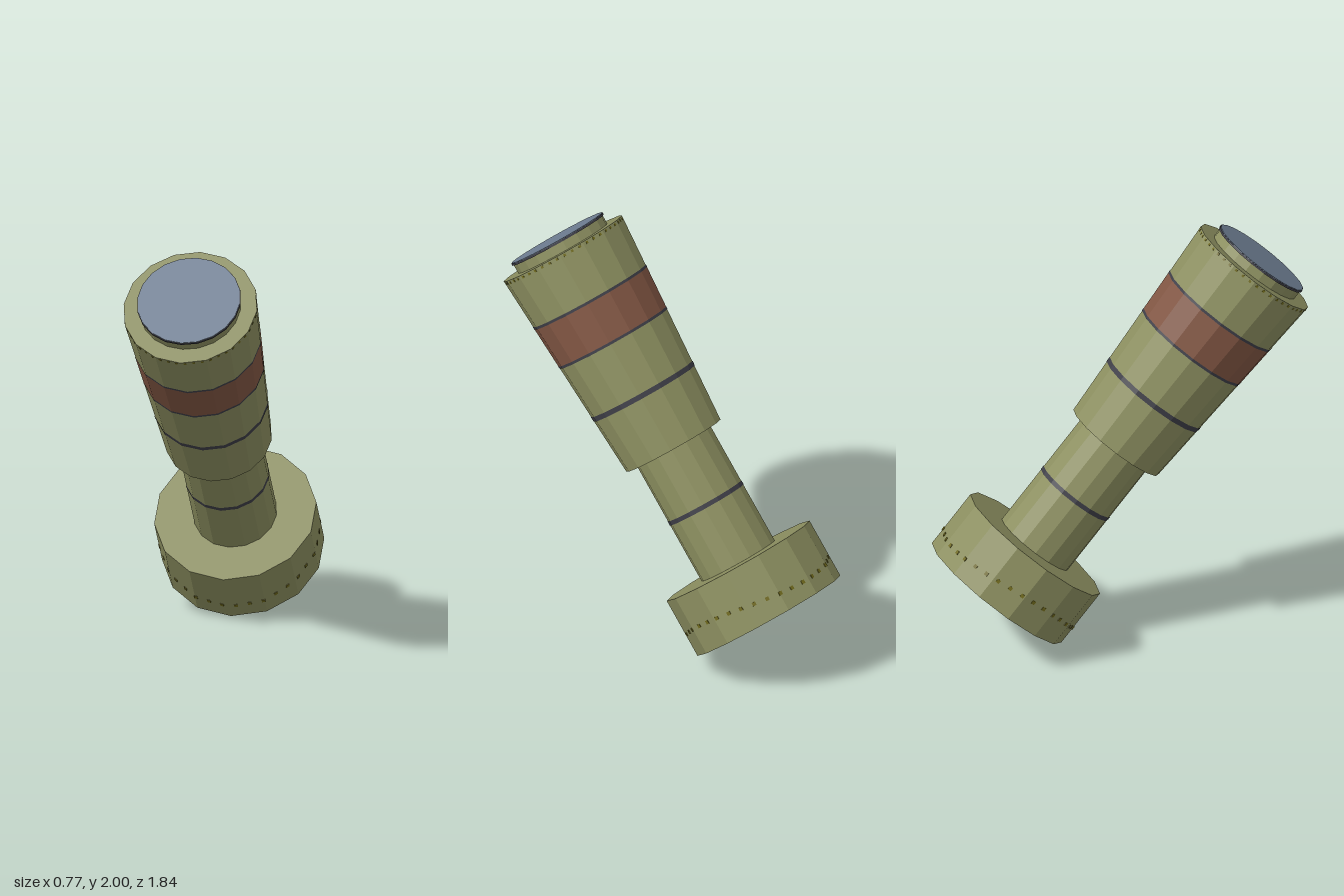
import * as THREE from 'three';

const mat = (name, color) => {
  const m = new THREE.MeshStandardMaterial({ color, flatShading: true });
  m.name = name;
  return m;
};

export function createModel() {
  const olive = mat('olive', 0x8c8f60);
  const brown = mat('brown', 0x815643);
  const dark = mat('charcoal', 0x3e3e47);
  const glass = mat('blueGrey', 0x6f7f93);
  const stud = mat('darkYellow', 0x6e681c);

  const model = new THREE.Group();
  model.name = 'tiltedTube';

  // Everything is stacked along one axis, then leaned forward by 40 degrees
  const axis = new THREE.Group();
  axis.name = 'body';
  axis.position.set(0, 0.25, -0.62);
  axis.rotation.x = THREE.MathUtils.degToRad(40);
  model.add(axis);

  // Round section between two heights on the axis
  const section = (name, material, y0, y1, r0, r1, sides = 16, open = false) => {
    const mesh = new THREE.Mesh(new THREE.CylinderGeometry(r1, r0, y1 - y0, sides, 1, open), material);
    mesh.position.y = (y0 + y1) / 2;
    mesh.name = name;
    axis.add(mesh);
  };

  // Base, neck and tapered barrel
  section('base', olive, 0, 0.3, 0.39, 0.39, 14);
  section('neck', olive, 0.29, 0.95, 0.2, 0.2);
  section('barrel', olive, 0.93, 2.008, 0.257, 0.323);

  // Painted bands follow the taper, just proud of the surface
  const barrelRadius = (y) => 0.257 + ((y - 0.93) / 1.078) * 0.066;
  const band = (name, material, y0, y1, lift) =>
    section(name, material, y0, y1, barrelRadius(y0) + lift, barrelRadius(y1) + lift, 16, true);
  band('brownBand', brown, 1.52, 1.743, 0.001);
  band('lowerBandEdge', dark, 1.514, 1.527, 0.002);
  band('upperBandEdge', dark, 1.736, 1.749, 0.002);
  band('barrelStripe', dark, 1.215, 1.24, 0.002);
  section('neckStripe', dark, 0.606, 0.628, 0.202, 0.202, 16, true);

  // Lens mount, rim and glass
  section('lensMount', olive, 2.0, 2.054, 0.243, 0.243, 20);
  section('lensRim', dark, 2.054, 2.064, 0.25, 0.25, 20);
  section('lens', glass, 2.06, 2.067, 0.247, 0.247, 20);

  // Tiny studs around the base and the barrel lip
  const studRing = (name, count, size, radius, sides, height) => {
    const ring = new THREE.Group();
    ring.name = name;
    const geo = new THREE.BoxGeometry(size, size, 0.006);
    const step = (Math.PI * 2) / sides;
    for (let i = 0; i < count; i++) {
      const a = ((i + 0.5) / count) * Math.PI * 2;
      const faceAngle = (Math.floor(a / step) + 0.5) * step;
      const r = (radius * Math.cos(step / 2)) / Math.cos(a - faceAngle);
      const box = new THREE.Mesh(geo, stud);
      box.name = 'stud';
      box.position.set(Math.sin(a) * r, height(a), Math.cos(a) * r);
      box.rotation.y = faceAngle;
      ring.add(box);
    }
    axis.add(ring);
  };
  studRing('baseStuds', 36, 0.018, 0.39, 14, (a) => 0.107 - 0.027 * Math.cos(2 * a));
  studRing('lipStuds', 48, 0.012, 0.321, 16, () => 1.996);

  return model;
}
